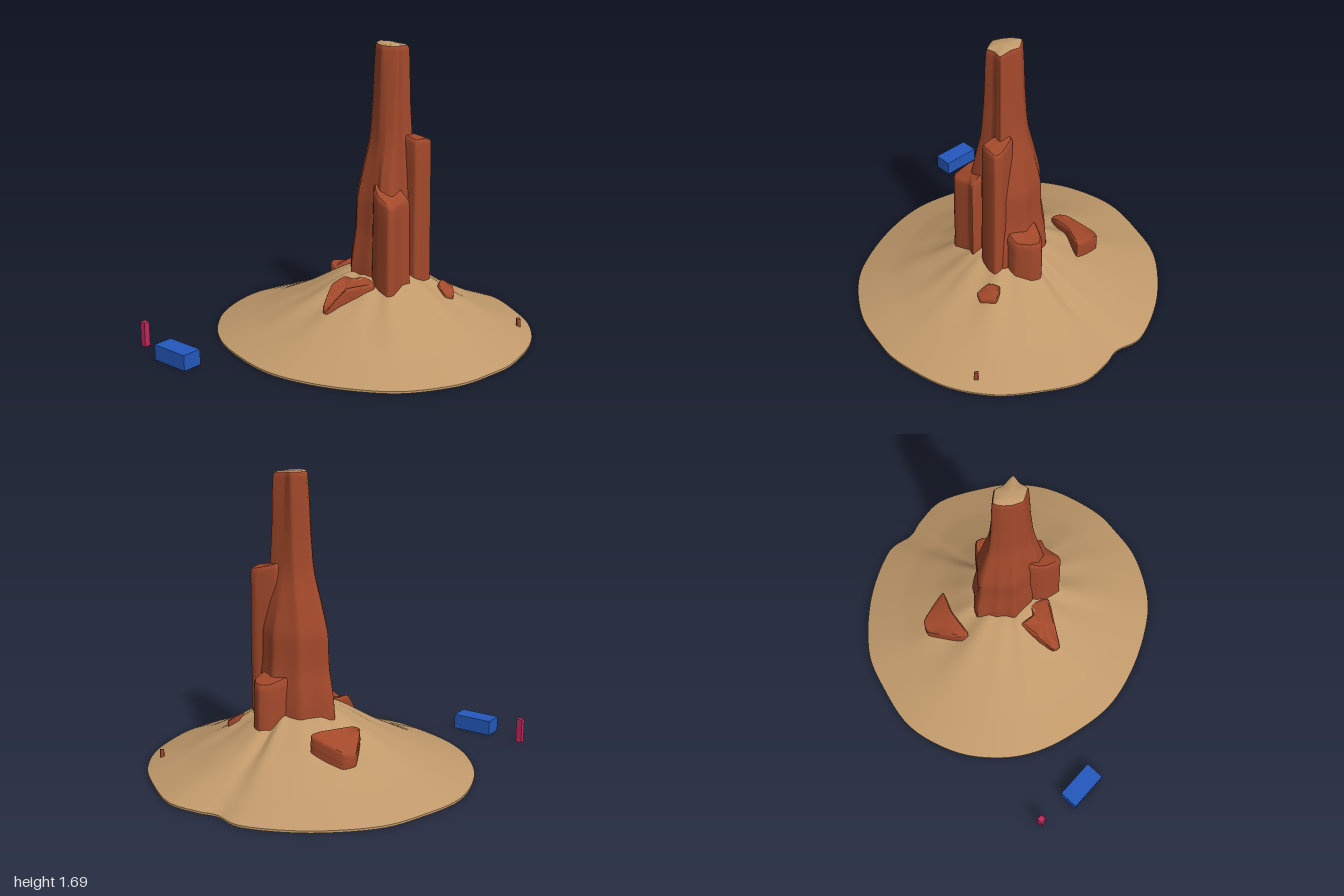
import * as THREE from 'three';
import { toCreasedNormals } from 'three/addons/utils/BufferGeometryUtils.js';

const mat = (name, color) => Object.assign(new THREE.MeshStandardMaterial({ color }), { name });

// Closed outline through [x, z, y] points, ordered left, front, right, back.
function outline(points, n, tension = 0.25) {
  const curve = new THREE.CatmullRomCurve3(
    points.map(([x, z, y = 0]) => new THREE.Vector3(x, y, z)), true, 'catmullrom', tension);
  return Array.from({ length: n }, (_, i) => curve.getPoint(i / n));
}

function centreOf(ring) {
  return ring.reduce((c, p) => c.add(p), new THREE.Vector3()).divideScalar(ring.length);
}

// Skin stacked rings from bottom to top, with optional end caps.
function loft(rings, { top = true, bottom = false, crease = 0.7 } = {}) {
  const n = rings[0].length, pos = [], index = [];
  rings.forEach(r => r.forEach(p => pos.push(p.x, p.y, p.z)));
  for (let j = 0; j < rings.length - 1; j++) {
    for (let i = 0; i < n; i++) {
      const a = j * n + i, b = j * n + (i + 1) % n;
      index.push(a, b, b + n, a, b + n, a + n);
    }
  }
  const cap = (j, up) => {
    const c = centreOf(rings[j]), k = pos.length / 3;
    pos.push(c.x, c.y, c.z);
    for (let i = 0; i < n; i++) {
      const a = j * n + i, b = j * n + (i + 1) % n;
      index.push(k, up ? a : b, up ? b : a);
    }
  };
  if (top) cap(rings.length - 1, true);
  if (bottom) cap(0, false);
  const geo = new THREE.BufferGeometry();
  geo.setAttribute('position', new THREE.Float32BufferAttribute(pos, 3));
  geo.setIndex(index);
  geo.computeVertexNormals();
  return toCreasedNormals(geo, crease);
}

const scaled = (ring, s, drop = 0) => {
  const c = centreOf(ring);
  return ring.map(p => new THREE.Vector3(c.x + (p.x - c.x) * s, p.y - drop, c.z + (p.z - c.z) * s));
};

// Rock with a worn rim; its sides run down by depth.
function rock(points, depth, rim, flare = 1) {
  const ring = outline(points, 48);
  const rings = [scaled(ring, flare, depth)];
  for (let k = 1; k < 6; k++) {
    const d = depth + (rim - depth) * k / 6;
    rings.push(scaled(ring, 1 + (flare - 1) * (d / depth) + 0.012 * Math.sin(k * 2.3), d));
  }
  rings.push(scaled(ring, 1, rim), scaled(ring, 0.96, rim * 0.35), scaled(ring, 0.86));
  return loft(rings);
}

// Linear interpolation in a table of [key, value] rows with rising keys.
function lookup(table, x) {
  for (let i = 1; i < table.length; i++) {
    const [x0, y0] = table[i - 1], [x1, y1] = table[i];
    if (x <= x1) return THREE.MathUtils.lerp(y0, y1, (x - x0) / (x1 - x0));
  }
  return table[table.length - 1][1];
}

export function createModel() {
  const model = new THREE.Group();
  const sand = mat('sand', 0xc19a6b), red = mat('red rock', 0xa3492b);
  const blue = mat('blue', 0x2459bd), pink = mat('crimson', 0xc2285c);
  const add = (name, geo, material, x = 0, y = 0, z = 0) => {
    const mesh = new THREE.Mesh(geo, material);
    mesh.name = name;
    mesh.position.set(x, y, z);
    model.add(mesh);
    return mesh;
  };

  // Sand mound, with faint radial gullies
  const edge = outline([
    [-0.935, -0.08], [-0.86, 0.23], [-0.7, 0.46], [-0.5, 0.61], [-0.25, 0.7], [0, 0.74],
    [0.25, 0.7], [0.5, 0.6], [0.7, 0.46], [0.86, 0.22], [0.915, 0], [0.93, -0.2],
    [0.86, -0.5], [0.72, -0.72], [0.55, -0.86], [0.3, -1], [0.1, -1], [-0.02, -0.975],
    [-0.2, -1], [-0.5, -0.86], [-0.76, -0.62], [-0.87, -0.38]], 120, 0.5);
  const slope = [[0, 0.4], [0.22, 0.365], [0.3, 0.325], [0.4, 0.265], [0.5, 0.21], [0.75, 0.1], [1, 0.012]];
  const mound = [edge];
  for (let j = 0; j <= 24; j++) {
    const t = 1 - j / 25;
    mound.push(edge.map((p, i) => {
      const a = i / 120 * Math.PI * 2;
      const gully = (Math.sin(a * 9) + Math.sin(a * 14 + 1)) * 0.006 * Math.max(0, 1 - Math.abs(t - 0.4) * 2.5);
      return new THREE.Vector3(0.06 + (p.x - 0.06) * t, lookup(slope, t) + gully, -0.16 + (p.z + 0.16) * t);
    }));
  }
  add('sandMound', loft(mound, { bottom: true }), sand);

  // Main spire, widening from its small top to its broad foot
  const topRing = outline([[-0.015, -0.19], [0, -0.15], [0.04, -0.11], [0.1, -0.08], [0.14, -0.095],
    [0.18, -0.12], [0.172, -0.17], [0.18, -0.225], [0.1, -0.223], [0.05, -0.238]], 80);
  const footRing = outline([[-0.2, -0.19], [-0.13, -0.09], [-0.05, 0], [0.1, 0], [0.17, 0.04],
    [0.24, 0], [0.23, -0.17], [0.25, -0.3], [0.1, -0.38], [-0.09, -0.33]], 80);
  const spread = [[0.25, 1.05], [0.4, 0.95], [0.6, 0.8], [0.8, 0.72], [0.9, 0.6], [1, 0.47],
    [1.12, 0.26], [1.2, 0.18], [1.4, 0.1], [1.65, 0]];
  const spire = [];
  for (let j = 0; j <= 40; j++) {
    const y = 0.25 + 1.4 * j / 40, k = lookup(spread, y);
    spire.push(topRing.map((p, i) => {
      const q = p.clone().lerp(footRing[i], k);
      const groove = 1 + 0.025 * k * Math.sin(i * 0.9 + 0.6 * Math.sin(y * 4)) + 0.012 * Math.sin(y * 17);
      return new THREE.Vector3(0.08 + (q.x - 0.08) * groove, y, -0.16 + (q.z + 0.16) * groove);
    }));
  }
  const crown = topRing.map(p => new THREE.Vector3(p.x, 1.685 - p.x * 0.06, p.z));
  const rim = scaled(crown, 0.92);
  spire.push(scaled(crown, 0.99, 0.015), rim);
  add('spire', loft(spire, { top: false }), red);
  add('spireSandCap', loft([rim, scaled(crown, 0.75, -0.007)]), sand);

  // Attached columns and buttress
  add('tallShoulder', rock([[0.13, -0.2, 1.19], [0.265, -0.18, 1.16], [0.285, -0.24, 1.16],
    [0.285, -0.3, 1.15], [0.24, -0.31, 1.155], [0.13, -0.27, 1.18]], 0.9, 0.03, 1.06), red);
  add('frontColumn', rock([[0.08, -0.05, 0.92], [0.12, 0.01, 0.89], [0.17, 0.042, 0.865], [0.26, 0.06, 0.83],
    [0.28, 0.03, 0.82], [0.265, -0.06, 0.83], [0.28, -0.11, 0.84], [0.19, -0.12, 0.9]], 0.6, 0.03, 1.07), red);
  add('backButtress', rock([[0, -0.3, 0.58], [0.19, -0.28, 0.58], [0.205, -0.38, 0.55],
    [0.15, -0.45, 0.55], [0.1, -0.47, 0.55], [0.05, -0.43, 0.55]], 0.33, 0.04, 1.07), red);

  // Outcrops half buried in the mound
  add('frontOutcrop', rock([[-0.06, 0.05, 0.36], [-0.05, 0.18, 0.345], [-0.025, 0.28, 0.25], [0.02, 0.295, 0.25],
    [0.08, 0.2, 0.345], [0.17, 0.06, 0.36], [0.07, 0, 0.37], [0.03, 0.06, 0.365]], 0.1, 0.015), red);
  add('rightOutcrop', rock([[-0.46, -0.36, 0.25], [-0.39, -0.22, 0.315], [-0.36, -0.17, 0.315], [-0.31, -0.16, 0.315],
    [-0.28, -0.32, 0.335], [-0.23, -0.45, 0.335], [-0.42, -0.43, 0.27]], 0.12, 0.015), red);
  add('leftOutcrop', rock([[0.32, -0.38, 0.305], [0.34, -0.31, 0.295], [0.41, -0.29, 0.26],
    [0.43, -0.34, 0.25], [0.38, -0.41, 0.27]], 0.08, 0.01), red);
  add('pebble', rock([[0.695, -0.61, 0.09], [0.71, -0.595, 0.085], [0.725, -0.61, 0.085],
    [0.71, -0.625, 0.09]], 0.05, 0.008), red);

  // Scale blocks
  add('blueBlock', new THREE.BoxGeometry(0.24, 0.09, 0.115), blue, -0.5, 0.045, 0.9425);
  add('crimsonPost', new THREE.BoxGeometry(0.035, 0.145, 0.035), pink, -0.818, 0.0725, 0.9025);
  return model;
}
